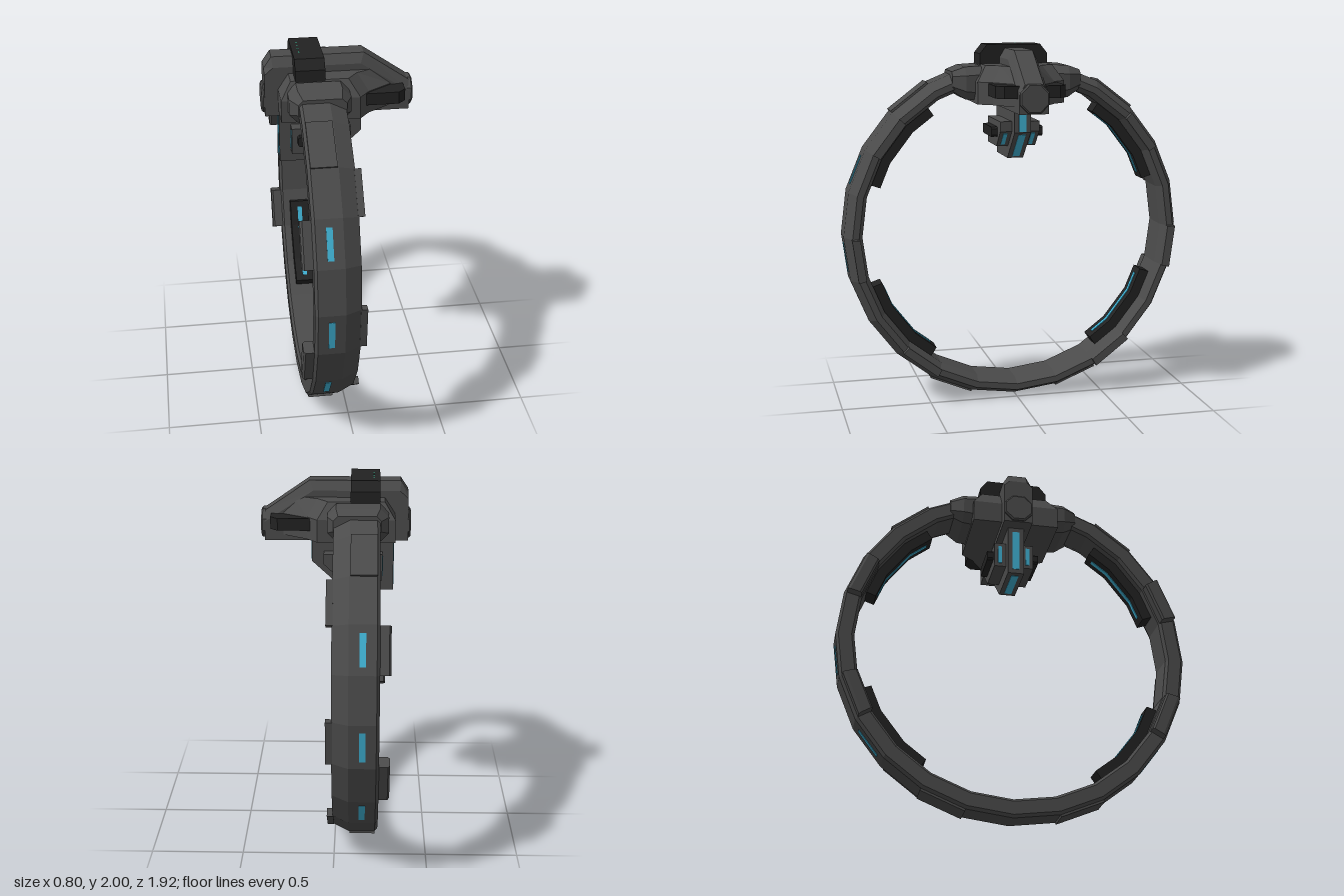
import * as THREE from 'three';

const mat = (name, color) => {
  const m = new THREE.MeshStandardMaterial({ color });
  m.name = name;
  return m;
};

// Flat-shaded solid through a row of convex cross-sections with equal point counts
function loft(sections) {
  const tris = [], n = sections[0].length;
  const last = sections[sections.length - 1];
  for (let s = 0; s < sections.length - 1; s++) {
    for (let i = 0; i < n; i++) {
      const j = (i + 1) % n, A = sections[s], B = sections[s + 1];
      tris.push([A[i], A[j], B[j]], [A[i], B[j], B[i]]);
    }
  }
  for (let i = 1; i < n - 1; i++) {
    tris.push([sections[0][0], sections[0][i + 1], sections[0][i]]);
    tris.push([last[0], last[i], last[i + 1]]);
  }
  // Turn the faces outward if the loft came out inside out
  const v = (p) => new THREE.Vector3(...p);
  const volume = tris.reduce((sum, [a, b, c]) => sum + v(a).dot(v(b).cross(v(c))), 0);
  if (volume < 0) tris.forEach((t) => t.reverse());
  const geo = new THREE.BufferGeometry();
  geo.setAttribute('position', new THREE.Float32BufferAttribute(tris.flat(2), 3));
  geo.computeVertexNormals();
  return geo;
}

const STEP = Math.PI / 12, CENTER_Y = 0.96;

// Sweep an (x, radius) section along the 24-sided ring; degrees run from the top toward +z
function ringArc(section, from, to) {
  const angles = [from];
  for (let d = Math.floor(from / 15) * 15 + 15; d < to; d += 15) angles.push(d);
  angles.push(to);
  return loft(angles.map((d) => {
    const a = THREE.MathUtils.degToRad(d);
    const offset = a - Math.floor(d / 15) * STEP - STEP / 2;
    const k = Math.cos(STEP / 2) / Math.cos(offset);
    return section.map(([x, r]) => [x, CENTER_Y + r * k * Math.cos(a), r * k * Math.sin(a)]);
  }));
}

const rect = (x0, x1, r0, r1) => [[x0, r0], [x1, r0], [x1, r1], [x0, r1]];
const atZ = (outline, z) => outline.map(([x, y]) => [x, y, z]);
const atY = (plan, y) => plan.map(([x, z]) => [x, y, z]);
const atX = (outline, x) => outline.map(([z, y]) => [x, y, z]);

// Rectangle with cut corners
const cutRect = (x0, x1, y0, y1, c) => [
  [x0 + c, y0], [x1 - c, y0], [x1, y0 + c], [x1, y1 - c],
  [x1 - c, y1], [x0 + c, y1], [x0, y1 - c], [x0, y0 + c]];

export function createModel() {
  const model = new THREE.Group();
  const body = mat('graphite', 0x4b4b4b);
  const black = mat('black', 0x222222);
  const glow = mat('cyan light', 0x3fb1d3);
  const green = mat('green light', 0x2fae8a);

  const add = (name, geo, material) => {
    const mesh = new THREE.Mesh(geo, material);
    mesh.name = name;
    model.add(mesh);
    return mesh;
  };
  const box = (name, material, x0, x1, y0, y1, z0, z1) => {
    const m = add(name, new THREE.BoxGeometry(x1 - x0, y1 - y0, z1 - z0), material);
    m.position.set((x0 + x1) / 2, (y0 + y1) / 2, (z0 + z1) / 2);
    return m;
  };
  // Same ring part on the front and back halves
  const bothHalves = (name, section, from, to, material) => {
    add(name, ringArc(section, from, to), material);
    add(name, ringArc(section, 360 - to, 360 - from), material);
  };

  // Main ring, open where the head sits
  add('ring', ringArc([
    [-0.235, 0.875], [-0.22, 0.86], [-0.05, 0.86], [0.005, 0.885],
    [0.005, 0.92], [-0.08, 0.96], [-0.22, 0.96], [-0.235, 0.945],
  ], 15, 345), body);

  // Raised plates on the outer face
  for (const a of [30, 150]) bothHalves('outerPlate', rect(-0.22, -0.085, 0.95, 0.972), a, a + 15, body);

  // Blocks on the two flanks
  for (const a of [60, 105]) {
    bothHalves('rightFlankBlock',
      [[-0.23, 0.865], [-0.28, 0.865], [-0.29, 0.875], [-0.29, 0.93], [-0.28, 0.945], [-0.23, 0.945]],
      a, a + 15, body);
  }
  for (const a of [45, 90, 135]) bothHalves('leftFlankBlock', rect(0, 0.035, 0.88, 0.925), a, a + 15, body);

  // Lights on the outer face
  for (const a of [67.5, 97.5, 127.5]) {
    bothHalves('outerLight', rect(-0.166, -0.134, 0.957, 0.963), a - 5, a + 5, glow);
  }

  // Inner pads with light strips
  for (const a of [52.5, 127.5]) {
    bothHalves('innerPad', rect(-0.18, -0.07, 0.805, 0.87), a - 18, a + 18, black);
    bothHalves('innerLight', rect(-0.138, -0.112, 0.801, 0.808), a - 15.5, a + 15.5, glow);
  }

  // Head housing
  const plan = (d) => [
    [-0.315 + d, -0.24 + d], [0.095 - d, -0.24 + d], [0.15 - d, -0.17 + d], [0.28 - d, -0.08 + d / 2],
    [0.28 - d, 0.08 - d / 2], [0.15 - d, 0.17 - d], [0.095 - d, 0.24 - d], [-0.315 + d, 0.24 - d]];
  add('housing', loft([atY(plan(0), 1.69), atY(plan(0), 1.81), atY(plan(0.055), 1.895)]), body);

  // Collars joining the ring to the housing
  for (const s of [-1, 1]) {
    add('collar', loft([
      atZ(cutRect(-0.28, 0.04, 1.70, 1.89, 0.045), s * 0.2),
      atZ(cutRect(-0.28, 0.04, 1.71, 1.885, 0.045), s * 0.29),
      atZ(cutRect(-0.24, 0.008, 1.755, 1.86, 0.025), s * 0.36),
    ]), body);
  }

  // Long central blade with bevelled top edges
  const blade = [[-0.385, 1.66], [-0.385, 1.92], [-0.345, 1.98], [0.14, 1.98], [0.38, 1.815], [0.38, 1.66]];
  const bladeSide = [[-0.385, 1.66], [-0.385, 1.89], [-0.34, 1.93], [0.12, 1.93], [0.38, 1.76], [0.38, 1.66]];
  add('blade', loft([atZ(bladeSide, -0.08), atZ(blade, -0.05), atZ(blade, 0.05), atZ(bladeSide, 0.08)]), body);

  // Octagonal end caps
  for (const s of [-1, 1]) {
    add('endCap', loft([
      atX(cutRect(-0.078, 0.078, 1.665, 1.82, 0.045), s * 0.37),
      atX(cutRect(-0.078, 0.078, 1.665, 1.82, 0.045), s * 0.392),
      atX(cutRect(-0.07, 0.07, 1.673, 1.812, 0.04), s * 0.4),
    ]), body);
  }

  // Black clip over the top, with a row of small lights
  const clip = [[-0.19, 1.86], [-0.19, 1.95], [-0.15, 2], [0.15, 2], [0.19, 1.95], [0.19, 1.86]];
  add('topClip', loft([atX(clip, -0.235), atX(clip, -0.08)]), black);
  for (let i = 0; i < 4; i++) {
    const z = -0.08 + i * 0.045;
    box('clipLight', green, -0.206, -0.198, 1.995, 2.001, z - 0.004, z + 0.004);
  }

  // Black cross block
  const cross = cutRect(0.08, 0.345, -0.19, 0.19, 0.04);
  add('crossBlock', loft([atY(cross, 1.74), atY(cross, 1.805)]), black);

  // Hanging pod under the head
  const pod = [[-0.31, 1.68], [-0.31, 1.375], [-0.045, 1.375], [0.13, 1.535], [0.13, 1.68]];
  add('pod', loft([atZ(pod, -0.045), atZ(pod, 0.045)]), body);
  box('podLight', glow, 0.127, 0.133, 1.54, 1.635, -0.02, 0.02);
  box('podLight', glow, -0.313, -0.307, 1.4, 1.635, -0.02, 0.02);
  box('podLight', glow, -0.28, -0.07, 1.372, 1.378, -0.02, 0.02);
  const slope = box('podLight', glow, -0.055, 0.145, 1.452, 1.458, -0.02, 0.02);
  slope.position.set(0.0425, 1.455, 0);
  slope.rotation.z = Math.atan2(0.16, 0.175);

  // Side pods with black grips and lights
  const wing = [[-0.25, 1.59], [-0.25, 1.445], [-0.03, 1.445], [0.065, 1.535], [0.065, 1.59]];
  for (const s of [-1, 1]) {
    add('sidePod', loft([atZ(wing, s * 0.04), atZ(wing, s * 0.11)]), body);
    const grip = cutRect(-0.22, 0, 1.5, 1.555, 0.01);
    add('grip', loft([atZ(grip, s * 0.1), atZ(grip, s * 0.145)]), black);
    box('sidePodLight', glow, -0.253, -0.247, 1.465, 1.57, s * 0.078 - 0.011, s * 0.078 + 0.011);
    const l = box('sidePodLight', glow, -0.05, 0.05, 0, 0.006, -0.011, 0.011);
    l.position.set(0.0175, 1.49, s * 0.078);
    l.rotation.z = Math.atan2(0.09, 0.095);
  }

  return model;
}
